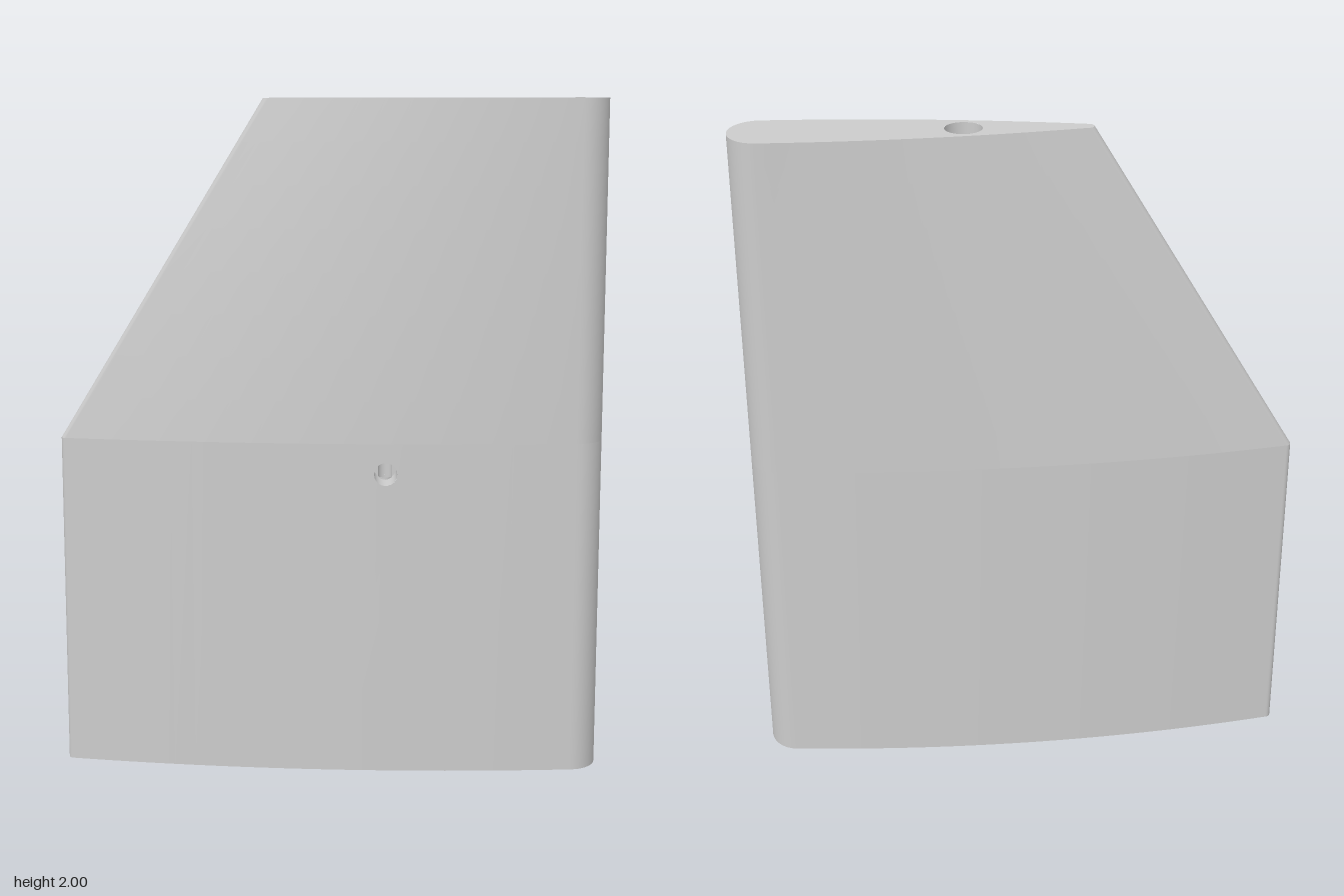
import * as THREE from 'three';

const BODY = 24, ARC = 8;             // columns along the body, steps of each rounded edge
const TAIL_R = 0.018, NOSE_X = 0.72, NOSE_LEN = 0.085, NOSE_H = 0.1;
const HOLE = { x: 0.16, y: 0.91, r: 0.034 };
const BORE_R = 0.021;
const PATCH = [13, 17];               // body columns that carry the side hole

const LOW = { tail: -0.81, bulge: 0.2 };
const HIGH = { tail: -0.2, bulge: 0.09 };

// half thickness of the fin at fraction t from tail to nose
const half = (t, bulge) => TAIL_R + (NOSE_H - TAIL_R) * t + bulge * t * (1 - t);

// closed cross-section as [x, z]: tail, front side, nose, back side
function section({ tail, bulge }) {
  const pts = [], x0 = tail + TAIL_R;
  for (let i = 0; i < ARC; i++) {
    const a = (i / ARC) * Math.PI / 2;
    pts.push([x0 - TAIL_R * Math.cos(a), TAIL_R * Math.sin(a)]);
  }
  for (let i = 0; i <= BODY; i++) {
    const t = i / BODY;
    pts.push([x0 + (NOSE_X - x0) * t, half(t, bulge)]);
  }
  for (let i = 1; i <= ARC; i++) {
    const a = (i / ARC) * Math.PI / 2;
    pts.push([NOSE_X + NOSE_LEN * Math.sin(a), NOSE_H * Math.cos(a)]);
  }
  const back = pts.slice(1, -1).reverse().map(([x, z]) => [x, -z]);
  return pts.concat(back);
}

// ruled skin between two sections; skip(i) leaves a column open
function loft(a, b, y0, y1, rows, skip = () => false) {
  const n = a.length, pos = [], idx = [];
  for (let r = 0; r <= rows; r++) {
    const v = r / rows;
    for (let i = 0; i < n; i++) {
      pos.push(a[i][0] + (b[i][0] - a[i][0]) * v, y0 + (y1 - y0) * v, a[i][1] + (b[i][1] - a[i][1]) * v);
    }
  }
  for (let r = 0; r < rows; r++) {
    for (let i = 0; i < n; i++) {
      if (skip(i)) continue;
      const j = (i + 1) % n, p = r * n, q = p + n;
      idx.push(p + i, p + j, q + j, p + i, q + j, q + i);
    }
  }
  const g = new THREE.BufferGeometry();
  g.setAttribute('position', new THREE.Float32BufferAttribute(pos, 3));
  g.setIndex(idx);
  g.computeVertexNormals();
  return g;
}

function circlePath(x, y, r) {
  return new THREE.Path().absarc(x, y, r, 0, Math.PI * 2, true);
}

// flat end with a round opening
function cap(ring, r, y, up) {
  const shape = new THREE.Shape(ring.map(([x, z]) => new THREE.Vector2(x, z)));
  shape.holes.push(circlePath(HOLE.x, 0, r));
  return new THREE.ShapeGeometry(shape, 20).rotateX(up ? -Math.PI / 2 : Math.PI / 2).translate(0, y, 0);
}

// piece of the front skin with the side hole, bent to the fin's curve
function holePatch() {
  const x0 = LOW.tail + TAIL_R, len = NOSE_X - x0;
  const xs = [];
  for (let i = PATCH[0]; i <= PATCH[1]; i++) xs.push(x0 + len * i / BODY);
  const outline = xs.map(x => new THREE.Vector2(x, 0))
    .concat(xs.slice().reverse().map(x => new THREE.Vector2(x, 1)));
  const shape = new THREE.Shape(outline);
  shape.holes.push(circlePath(HOLE.x, HOLE.y, HOLE.r));
  const g = new THREE.ShapeGeometry(shape, 20);
  const p = g.attributes.position, nor = g.attributes.normal, v = new THREE.Vector3();
  for (let i = 0; i < p.count; i++) {
    const t = (p.getX(i) - x0) / len;
    p.setZ(i, half(t, LOW.bulge));
    const slope = (NOSE_H - TAIL_R + LOW.bulge * (1 - 2 * t)) / len;
    v.set(-slope, 0, 1).normalize();
    nor.setXYZ(i, v.x, v.y, v.z);
  }
  return g;
}

export function createModel() {
  const group = new THREE.Group();
  const skin = new THREE.MeshStandardMaterial({ color: 0xcccccc });
  const inner = new THREE.MeshStandardMaterial({ color: 0xcccccc, side: THREE.DoubleSide });
  const add = (name, geo, mat = skin) => {
    const m = new THREE.Mesh(geo, mat);
    m.name = name;
    group.add(m);
    return m;
  };

  // fin body
  const low = section(LOW), high = section(HIGH);
  const open = i => i >= ARC + PATCH[0] && i < ARC + PATCH[1];
  add('lowerFin', loft(low, low, 0, 1, 1, open));
  add('lowerFinHolePanel', holePatch());
  add('upperFin', loft(low, high, 1, 2, 8));
  add('topFace', cap(high, 0.053, 2, true));
  add('bottomFace', cap(low, HOLE.r, 0, false));

  // stepped vertical bore, each step a wall or a ledge
  const bore = (name, pts, start = 0, sweep = Math.PI * 2) => {
    for (let i = 0; i + 1 < pts.length; i++) {
      const seg = [pts[i], pts[i + 1]].map(([r, y]) => new THREE.Vector2(r, y));
      add(name, new THREE.LatheGeometry(seg, 32, start, sweep), inner).position.x = HOLE.x;
    }
  };
  const chord = Math.sqrt(HOLE.r ** 2 - BORE_R ** 2);
  const y0 = HOLE.y - chord, y1 = HOLE.y + chord;
  bore('lowerBore', [[HOLE.r, 0], [HOLE.r, 0.5], [BORE_R, 0.5], [BORE_R, y0]]);
  bore('boreCrossing', [[BORE_R, y0], [BORE_R, y1]], Math.PI / 2, Math.PI);
  bore('upperBore', [[BORE_R, y1], [BORE_R, 1.3], [0.053, 1.3], [0.053, 2]]);

  // side hole from the front into the bore
  const depth = half((HOLE.x - LOW.tail - TAIL_R) / (NOSE_X - LOW.tail - TAIL_R), LOW.bulge);
  const wall = new THREE.CylinderGeometry(HOLE.r, HOLE.r, depth, 40, 1, true).rotateX(Math.PI / 2);
  add('sideHoleWall', wall, inner).position.set(HOLE.x, HOLE.y, depth / 2);
  const a = Math.acos(BORE_R / HOLE.r);
  for (const turn of [0, Math.PI]) {
    const floor = new THREE.Shape().absarc(0, 0, HOLE.r, turn - a, turn + a, false);
    add('sideHoleFloor', new THREE.ShapeGeometry(floor, 12), inner).position.set(HOLE.x, HOLE.y, 0);
  }
  return group;
}
